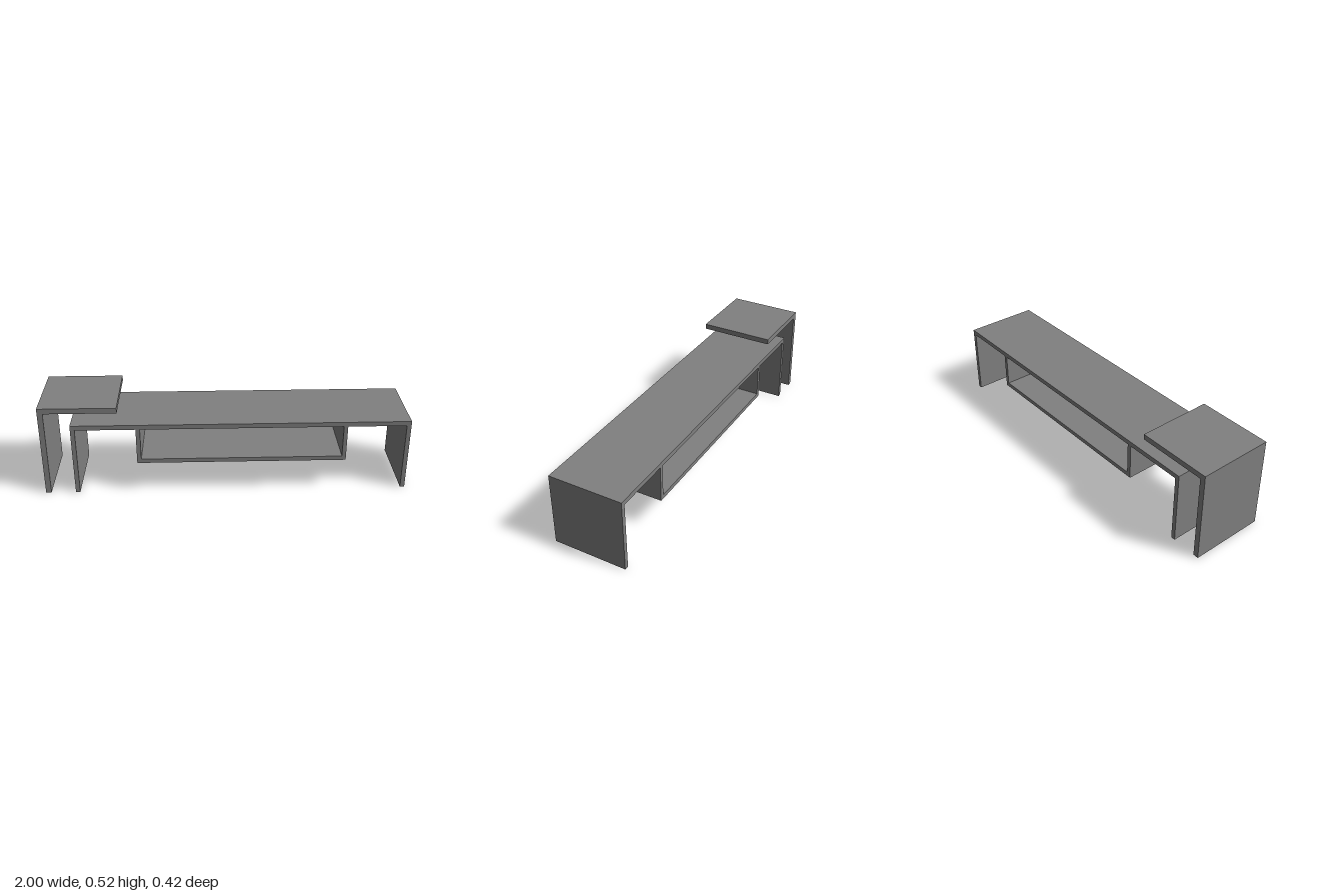
import * as THREE from 'three';

const DEPTH = 0.416;

export function createModel() {
  const model = new THREE.Group();
  const material = new THREE.MeshStandardMaterial({ color: 0x808080 });

  // A full-depth board given by its extents in the front plane
  const board = (parent, name, x0, x1, y0, y1) => {
    const mesh = new THREE.Mesh(new THREE.BoxGeometry(x1 - x0, y1 - y0, DEPTH), material);
    mesh.position.set((x0 + x1) / 2, (y0 + y1) / 2, 0);
    mesh.name = name;
    parent.add(mesh);
  };
  const section = (name) => {
    const group = new THREE.Group();
    group.name = name;
    model.add(group);
    return group;
  };

  // Long bench: top resting between two full-height side panels
  const bench = section('bench');
  board(bench, 'benchTop', -0.835, 1, 0.387, 0.413);
  board(bench, 'benchRightLeg', -0.835, -0.811, 0, 0.387);
  board(bench, 'benchLeftLeg', 0.976, 1, 0, 0.387);

  // Open shelf hung beneath the top
  const shelf = section('hangingShelf');
  board(shelf, 'shelfFloor', -0.486, 0.657, 0.181, 0.205);
  board(shelf, 'shelfRightSide', -0.486, -0.463, 0.205, 0.387);
  board(shelf, 'shelfLeftSide', 0.635, 0.657, 0.205, 0.387);

  // Raised L-shaped stand overhanging the bench
  const stand = section('raisedStand');
  board(stand, 'standTop', -1, -0.58, 0.487, 0.517);
  board(stand, 'standLeg', -1, -0.97, 0, 0.487);

  return model;
}
